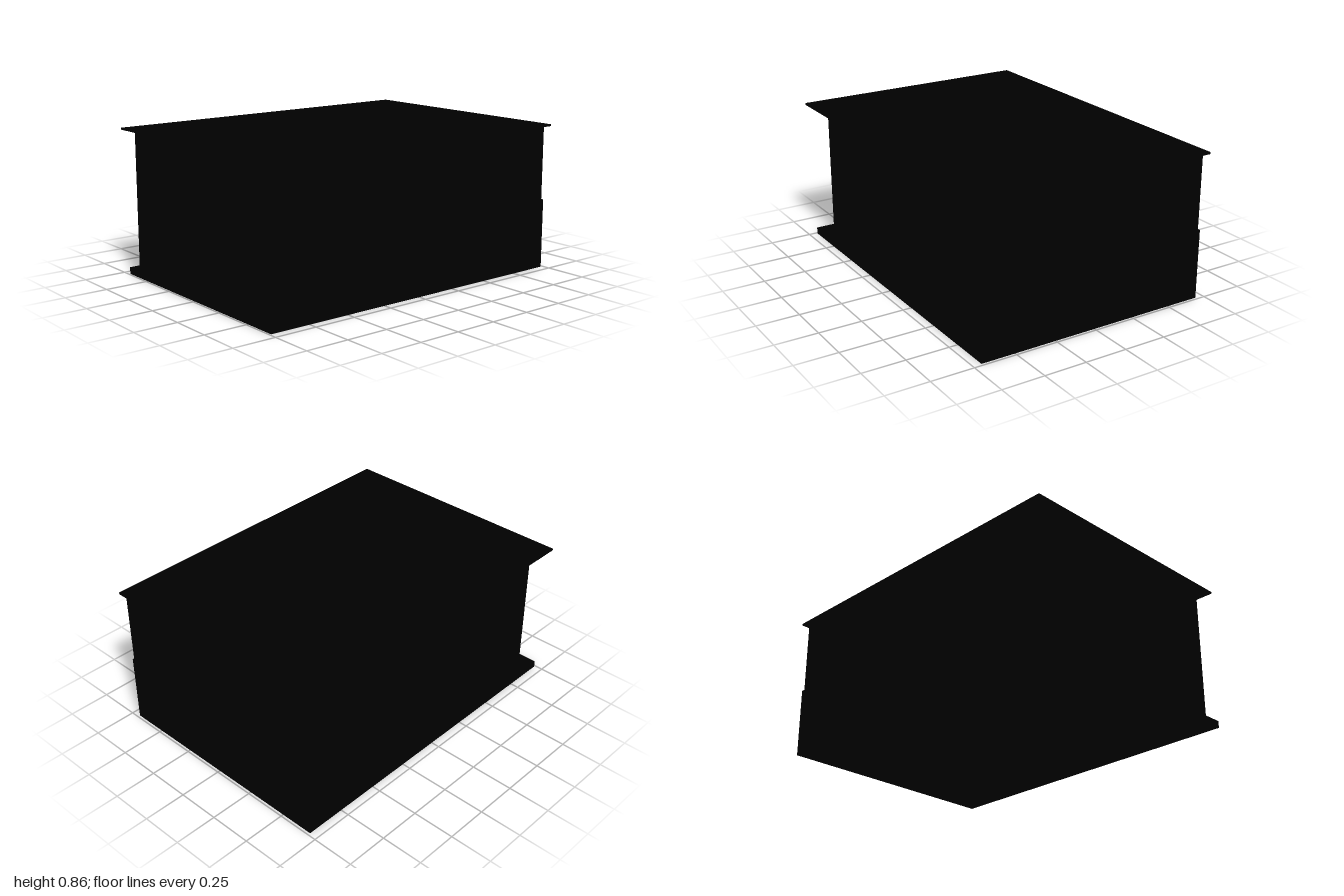
import * as THREE from 'three';

export function createModel() {
  const model = new THREE.Group();
  const black = new THREE.MeshStandardMaterial({ color: 0x000000 });
  black.name = 'matte black';

  function add(name, geometry) {
    const mesh = new THREE.Mesh(geometry, black);
    mesh.name = name;
    model.add(mesh);
    return mesh;
  }

  // Box given by its limits on each axis
  function block(name, x0, x1, y0, y1, z0, z1) {
    add(name, new THREE.BoxGeometry(x1 - x0, y1 - y0, z1 - z0))
      .position.set((x0 + x1) / 2, (y0 + y1) / 2, (z0 + z1) / 2);
  }

  const front = 0.99, back = -0.985, halfBase = 0.7;
  const eaves = 0.846, thin = 0.01, wall = 0.03;

  // Flat front floor followed by eight rising seating tiers
  const tiers = [{ y: 0.04, z0: 0.39, z1: front }];
  for (let i = 0; i < 8; i++) {
    const z1 = 0.39 - i * 0.134;
    tiers.push({ y: 0.085 + i * 0.0464, z0: i === 7 ? back : z1 - 0.134, z1 });
  }

  // Hollow stepped platform: treads, risers and side skirts
  tiers.forEach((t, i) => {
    block(i ? 'tierTread' : 'frontFloor', -halfBase, halfBase, t.y - thin, t.y, t.z0, t.z1);
    if (i) block('tierRiser', -halfBase, halfBase, tiers[i - 1].y - thin, t.y - thin, t.z1 - thin, t.z1);
    for (const x of [-halfBase, halfBase - thin]) {
      block('sideSkirt', x, x + thin, 0, t.y - thin, t.z0, t.z1);
    }
  });
  block('frontSkirt', -halfBase + thin, halfBase - thin, 0, 0.03, front - thin, front);
  block('backSkirt', -halfBase + thin, halfBase - thin, 0, 0.4, back, back + thin);

  // Side walls: three overlapping panels that flare toward the back.
  // xFront and xBack are the outer faces at the panel's two ends.
  const panels = [
    { xFront: 0.585, xBack: 0.587, y: 0.04, z0: 0.26, z1: front },
    { xFront: 0.597, xBack: 0.622, y: 0.08, z0: -0.405, z1: 0.26 },
    { xFront: 0.645, xBack: 0.685, y: 0.31, z0: back, z1: -0.405 },
  ];
  for (const side of [-1, 1]) {
    for (const p of panels) {
      const plan = new THREE.Shape([
        new THREE.Vector2(side * p.xFront, p.z1),
        new THREE.Vector2(side * p.xBack, p.z0),
        new THREE.Vector2(side * (p.xBack - wall), p.z0),
        new THREE.Vector2(side * (p.xFront - wall), p.z1),
      ]);
      const geometry = new THREE.ExtrudeGeometry(plan, { depth: eaves - p.y, bevelEnabled: false });
      geometry.rotateX(Math.PI / 2);
      add('sideWall', geometry).position.y = eaves;
    }
  }

  // End walls and overhanging flat roof
  block('frontWall', -0.585, 0.585, 0.04, eaves, front - thin, front);
  block('backWall', -0.685, 0.685, 0.41, eaves, back, back + thin);
  block('roof', -0.725, 0.725, eaves, 0.857, -1, 1);

  return model;
}
